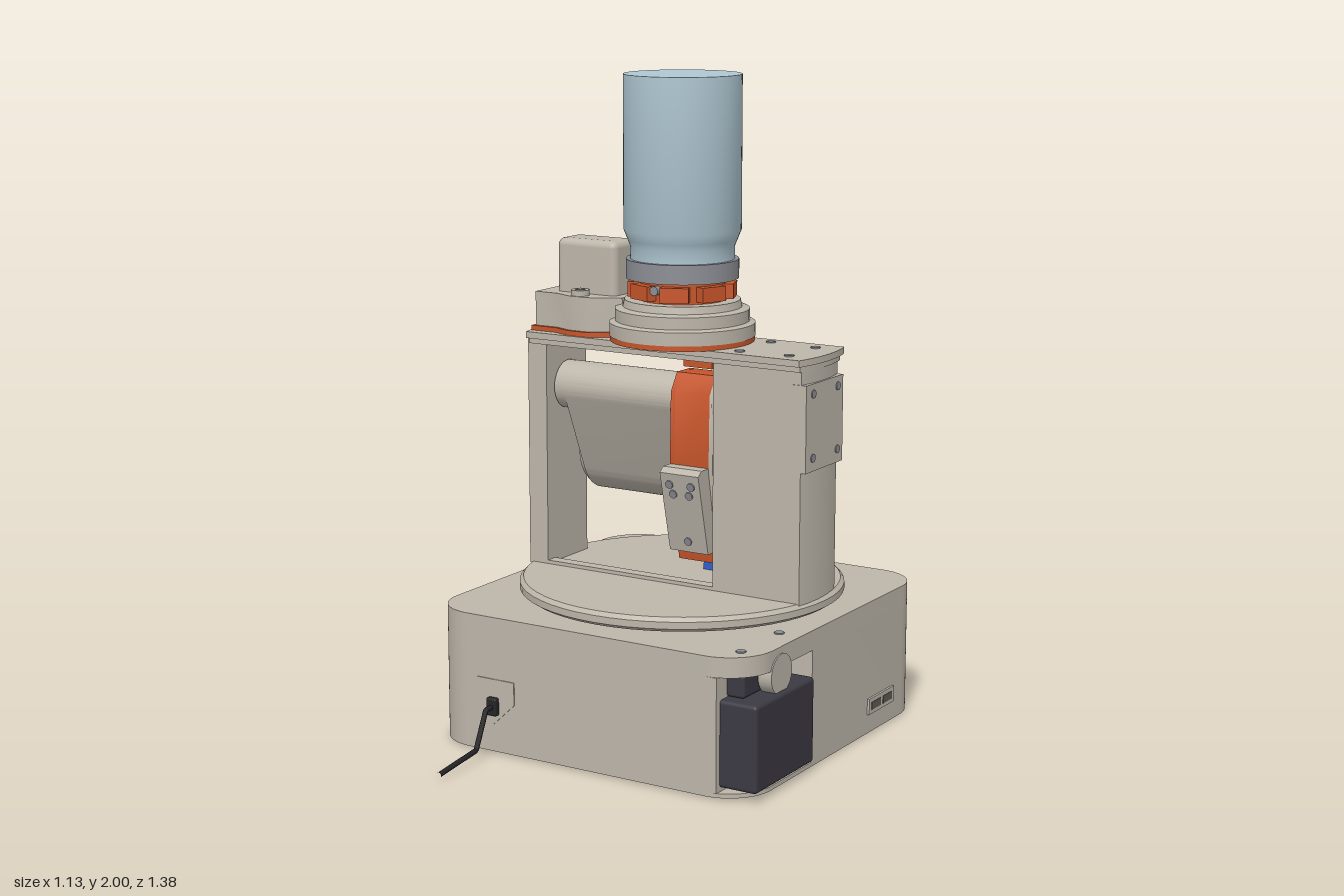
import * as THREE from 'three';
import { toCreasedNormals } from 'three/addons/utils/BufferGeometryUtils.js';
import { RoundedBoxGeometry } from 'three/addons/geometries/RoundedBoxGeometry.js';

const mat = (name, color, side = THREE.FrontSide) => {
  const m = new THREE.MeshStandardMaterial({ color, side });
  m.name = name;
  return m;
};

export function createModel() {
  const shell = mat('warm grey shell', 0xbdb6aa);
  const orange = mat('orange', 0xc8562b);
  const glass = mat('pale blue', 0xb0c8d3);
  const metal = mat('steel grey', 0x8d8f95);
  const dark = mat('charcoal', 0x3b3942);
  const black = mat('black', 0x252527);
  const blue = mat('blue', 0x2f5fd0);
  const slot = mat('slot grey', 0x5f5b55);

  const model = new THREE.Group();
  const CX = -0.01, CZ = -0.14; // turning axis

  const add = (name, geo, material, x = 0, y = 0, z = 0) => {
    const m = new THREE.Mesh(geo, material);
    m.name = name;
    m.position.set(x, y, z);
    model.add(m);
    return m;
  };
  // box given by its extents
  const box = (name, material, x0, x1, y0, y1, z0, z1, r = 0) => {
    const s = [x1 - x0, y1 - y0, z1 - z0];
    const g = r ? new RoundedBoxGeometry(...s, 3, r) : new THREE.BoxGeometry(...s);
    return add(name, g, material, (x0 + x1) / 2, (y0 + y1) / 2, (z0 + z1) / 2);
  };
  const extrude = (shape, depth) => new THREE.ExtrudeGeometry(shape, { depth, bevelEnabled: false, curveSegments: 24 });
  // plan shape drawn in (x, -z), raised from y0 to y1
  const plan = (name, shape, material, y0, y1) =>
    add(name, toCreasedNormals(extrude(shape, y1 - y0).rotateX(-Math.PI / 2), 0.6), material, 0, y0, 0);
  // side shape drawn in (-z, y), running from x0 to x1
  const side = (name, shape, material, x0, x1) =>
    add(name, toCreasedNormals(extrude(shape, x1 - x0).rotateY(Math.PI / 2), 0.6), material, x0, 0, 0);
  const poly = (pts) => new THREE.Shape(pts.map(([a, b]) => new THREE.Vector2(a, b)));
  const sidePoly = (pts) => poly(pts.map(([z, y]) => [-z, y]));
  const disc = (name, material, r, y0, y1, x = CX, z = CZ, seg = 48) =>
    add(name, new THREE.CylinderGeometry(r, r, y1 - y0, seg), material, x, (y0 + y1) / 2, z);
  const rodX = (name, material, r, x0, x1, y, z, seg = 32) =>
    add(name, new THREE.CylinderGeometry(r, r, x1 - x0, seg).rotateZ(Math.PI / 2), material, (x0 + x1) / 2, y, z);
  const lathe = (name, material, pts) =>
    add(name, toCreasedNormals(new THREE.LatheGeometry(pts.map(([r, y]) => new THREE.Vector2(r, y)), 56), 0.5), material, CX, 0, CZ);

  // Base housing: rounded square with a cut-out corner for the power unit
  const X0 = -0.565, X1 = 0.54, B = -0.41, T = 0.69, R = 0.14;
  const outline = (notch) => {
    const s = new THREE.Shape();
    s.moveTo(X0 + R, B);
    if (notch) {
      s.lineTo(0.44, B); s.lineTo(0.44, -0.03); s.lineTo(X1, -0.03);
    } else {
      s.lineTo(X1 - R, B);
      s.absarc(X1 - R, B + R, R, -Math.PI / 2, 0);
    }
    s.absarc(X1 - R, T - R, R, 0, Math.PI / 2);
    s.absarc(X0 + R, T - R, R, Math.PI / 2, Math.PI);
    s.absarc(X0 + R, B + R, R, Math.PI, Math.PI * 1.5);
    return s;
  };
  plan('bottomPlate', outline(false), shell, 0.005, 0.018);
  plan('baseHousing', outline(true), shell, 0.018, 0.36);
  plan('baseLid', outline(false), shell, 0.36, 0.42);

  // Power unit in the corner
  box('powerUnit', dark, 0.43, 0.56, 0.03, 0.29, 0.05, 0.39, 0.012);
  box('powerUnitTop', dark, 0.43, 0.495, 0.29, 0.36, 0.085, 0.35, 0.01);
  rodX('lidArch', shell, 0.06, 0.5, 0.544, 0.34, 0.22);
  disc('footPad', shell, 0.08, 0.0, 0.03, 0.45, 0.2, 24);

  // Ports, vents and cable
  box('sidePortFrame', shell, 0.53, 0.547, 0.065, 0.115, -0.49, -0.325);
  for (const z of [-0.445, -0.37]) box('sidePort', slot, 0.545, 0.549, 0.078, 0.102, z - 0.03, z + 0.03);
  for (let i = 0; i < 4; i++) box('rearVent', slot, 0.34 + i * 0.026, 0.353 + i * 0.026, 0.13, 0.31, -0.693, -0.688);
  for (const y of [0.14, 0.26])
    for (let i = 0; i < 8; i++) box('sideVent', slot, -0.568, -0.563, y, y + 0.09, -0.14 + i * 0.04, -0.125 + i * 0.04);
  add('cablePort', extrude(poly([[-0.39, 0.23], [-0.39, 0.15], [-0.33, 0.09], [-0.255, 0.16], [-0.255, 0.23]]), 0.004), shell, 0, 0, 0.409);
  box('cablePlug', black, -0.346, -0.31, 0.12, 0.175, 0.4, 0.43, 0.006);
  const cable = new THREE.CurvePath();
  const knots = [[0.41, 0.147], [0.455, 0.147], [0.507, 0.036], [0.69, 0.015]].map(([z, y]) => new THREE.Vector3(-0.327, y, z));
  for (let i = 0; i < 3; i++) cable.add(new THREE.LineCurve3(knots[i], knots[i + 1]));
  add('cable', new THREE.TubeGeometry(cable, 60, 0.008, 8), black);

  // Turntable
  disc('turntableNeck', shell, 0.205, 0.41, 0.435);
  lathe('turntable', shell, [[0, 0.43], [0.48, 0.43], [0.498, 0.442], [0.498, 0.463], [0.486, 0.475], [0, 0.475]]);
  box('turntableStrip', shell, -0.43, 0.18, 0.474, 0.486, -0.06, -0.02);

  // Yoke: two columns rounded to the turntable edge, with a bridge
  const strip = (r, half, zc, inner0, inner1) => {
    const a = Math.asin(half / r), s = new THREE.Shape();
    if (inner1 !== null) s.absarc(CX, -zc, r, -a, a);
    else s.moveTo(inner0, -zc - half).lineTo(inner0, -zc + half);
    if (inner0 !== null) s.absarc(CX, -zc, r, Math.PI - a, Math.PI + a);
    else { s.lineTo(inner1, -zc + half); s.lineTo(inner1, -zc - half); }
    return s;
  };
  const thin = new THREE.Shape();
  const a = Math.asin(0.11 / 0.495);
  thin.absarc(CX, 0.13, 0.495, Math.PI - a, Math.PI + a);
  thin.lineTo(-0.425, 0.02);
  thin.lineTo(-0.425, 0.24);
  plan('narrowColumn', thin, shell, 0.47, 1.185);
  plan('wideColumn', strip(0.488, 0.11, -0.13, null, 0.17), shell, 0.47, 1.185);
  plan('bridgeUnderside', strip(0.49, 0.122, -0.135, -1, 1), shell, 1.168, 1.19);
  plan('bridge', strip(0.497, 0.138, CZ, -1, 1), shell, 1.185, 1.205);
  box('columnPanel', shell, 0.435, 0.484, 0.87, 1.13, -0.243, -0.017);
  for (const y of [0.91, 1.1]) for (const z of [-0.06, -0.21]) rodX('panelScrew', metal, 0.013, 0.47, 0.487, y, z, 12);
  for (const [x, z] of [[0.245, -0.23], [0.405, -0.215], [0.245, -0.045], [0.405, -0.055], [-0.485, -0.19], [-0.48, -0.12], [-0.455, -0.23]])
    disc('bridgeScrew', metal, 0.015, 1.2, 1.209, x, z, 12);
  for (const [x, z] of [[0.47, 0.105], [0.47, 0.325]]) disc('lidScrew', metal, 0.015, 0.41, 0.424, x, z, 12);

  // Tilting drive body: two rounds joined by tangents
  const A = [0.13, 1.03, 0.075], D = [0.295, 0.815, 0.14];
  const dx = D[0] - A[0], dy = D[1] - A[1];
  const phi = Math.atan2(dy, dx), beta = Math.acos((A[2] - D[2]) / Math.hypot(dx, dy));
  const hull = new THREE.Shape();
  hull.absarc(D[0], D[1], D[2], phi - beta, phi + beta);
  hull.absarc(A[0], A[1], A[2], phi + beta, phi - beta + Math.PI * 2);
  side('driveBody', hull, shell, -0.385, 0.006);
  rodX('driveCap', shell, 0.128, -0.404, -0.385, D[1], -D[0]);
  rodX('pivotFlange', shell, 0.075, -0.42, -0.385, A[1], -A[0]);
  rodX('pivotHub', shell, 0.085, 0.15, 0.172, A[1], -A[0]);

  // Arm: orange channel with an open lower end, closed by a grey plate
  const armSide = [[-0.05, 1.06], [-0.085, 1.115], [-0.16, 1.115], [-0.445, 0.93], [-0.6, 0.665],
    [-0.595, 0.56], [-0.3, 0.53], [-0.1, 0.535], [-0.045, 0.83]];
  side('armWall', sidePoly(armSide), orange, 0.005, 0.022);
  side('armPlate', sidePoly(armSide), shell, 0.14, 0.154);
  const channel = [...armSide.slice(5), ...armSide.slice(0, 5),
    [-0.575, 0.66], [-0.428, 0.912], [-0.154, 1.093], [-0.096, 1.093], [-0.072, 1.054],
    [-0.067, 0.83], [-0.118, 0.557], [-0.3, 0.552], [-0.595, 0.582]];
  side('armChannel', sidePoly(channel), orange, 0.02, 0.14);
  for (const [z, y] of [[-0.5, 0.785], [-0.565, 0.67], [-0.48, 0.57], [-0.375, 0.56], [-0.27, 0.99]])
    rodX('armScrew', metal, 0.014, 0.15, 0.158, y, z, 12);
  side('armBracket', sidePoly([[0.015, 0.825], [-0.005, 0.84], [-0.08, 0.84], [-0.11, 0.575], [-0.045, 0.575]]), shell, 0.006, 0.14);
  for (const [x, y, z] of [[0.035, 0.79, 0.007], [0.11, 0.79, 0.007], [0.045, 0.76, 0], [0.1, 0.76, 0], [0.075, 0.61, -0.037]])
    add('bracketScrew', new THREE.CylinderGeometry(0.013, 0.013, 0.008, 12).rotateX(Math.PI / 2 + 0.23), metal, x, y, z);
  box('stopBlock', orange, 0.03, 0.13, 1.135, 1.17, -0.19, -0.08);

  // Sensor on the turntable
  box('sensor', blue, 0.02, 0.245, 0.475, 0.52, -0.3, -0.22);
  box('sensorPlug', blue, 0.03, 0.16, 0.48, 0.535, -0.38, -0.285);

  // Wrist drive on the bridge
  const wrist = (g) => poly([[-0.48 - g, 0.045 - g], [-0.4, 0.045 - g], [-0.34, 0.02 - g], [-0.27, 0.02 - g], [-0.18, 0.07],
    [-0.18, 0.21], [-0.27, 0.265 + g], [-0.48 - g, 0.265 + g]]);
  plan('wristGasket', wrist(0.01), orange, 1.204, 1.22);
  plan('wristHousing', wrist(0), shell, 1.22, 1.325);
  box('wristMotor', shell, -0.43, -0.215, 1.3, 1.49, -0.205, -0.085, 0.022);
  for (const z of [-0.232, -0.052]) {
    disc('wristEar', shell, 0.028, 1.32, 1.342, -0.32, z, 20);
    disc('wristScrew', metal, 0.016, 1.335, 1.345, -0.32, z, 12);
  }
  disc('turretGasket', orange, 0.218, 1.204, 1.22);
  lathe('turret', shell, [[0, 1.22], [0.22, 1.22], [0.22, 1.26], [0.203, 1.266], [0.203, 1.302], [0.18, 1.308], [0.175, 1.33], [0, 1.33]]);

  // Toothed coupling, collar and canister
  disc('couplingCore', orange, 0.135, 1.328, 1.396);
  for (let i = 0; i < 8; i++) {
    const t = (i + 0.5) * Math.PI / 4;
    const tooth = add('couplingTooth', new THREE.BoxGeometry(0.05, 0.045, 0.085), orange,
      CX + Math.cos(t) * 0.135, 1.36, CZ + Math.sin(t) * 0.135);
    tooth.rotation.y = -t;
  }
  box('couplingClip', shell, -0.03, 0.05, 1.345, 1.385, -0.32, -0.26);
  add('couplingScrew', new THREE.CylinderGeometry(0.014, 0.014, 0.03, 12).rotateX(Math.PI / 2), metal, -0.015, 1.37, 0);
  disc('collar', metal, 0.17, 1.394, 1.452);
  lathe('canister', glass, [[0, 1.45], [0.157, 1.45], [0.157, 1.49], [0.165, 1.51], [0.177, 1.54], [0.177, 2], [0, 2]]);

  return model;
}
